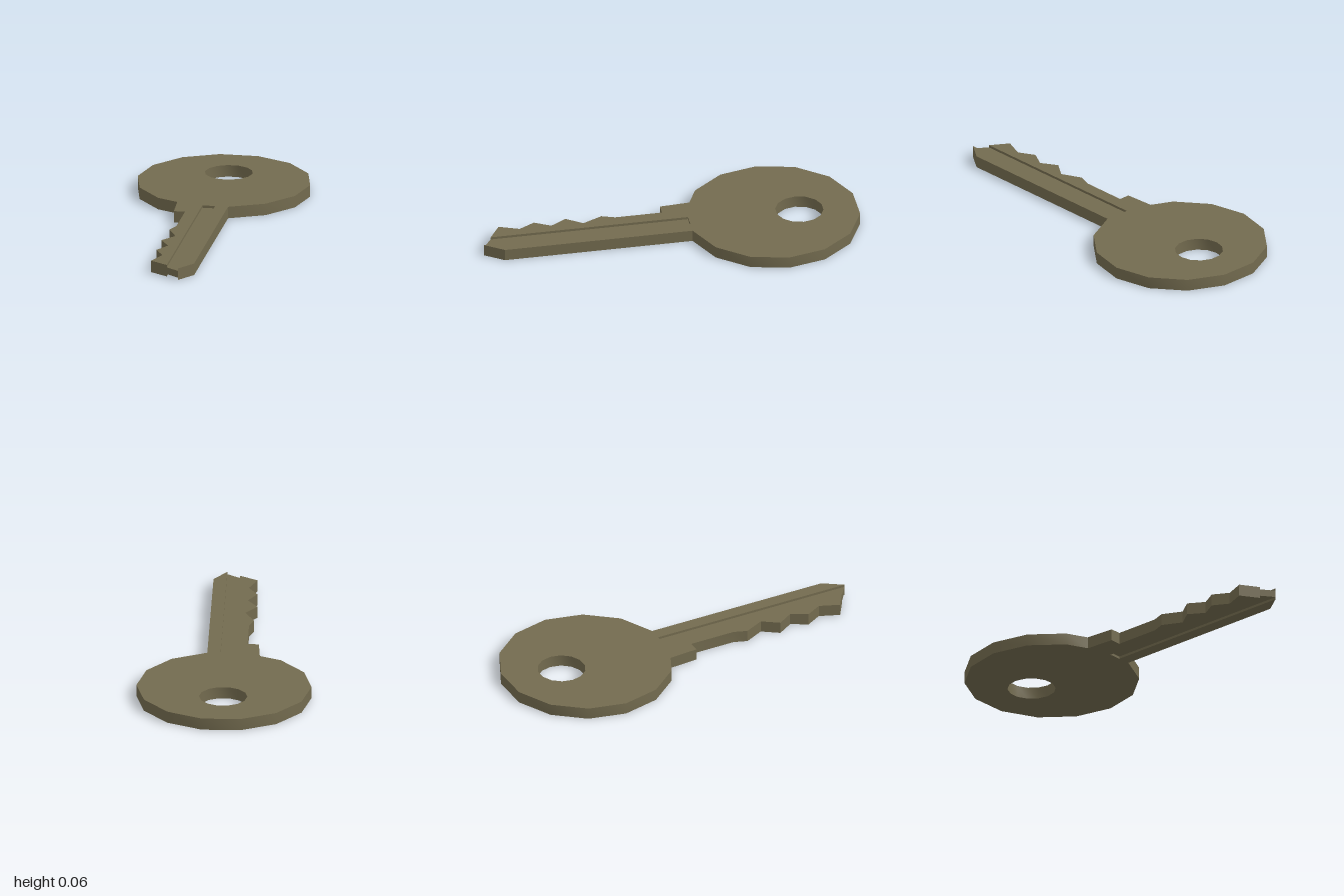
import * as THREE from 'three';
import { toCreasedNormals } from 'three/addons/utils/BufferGeometryUtils.js';

const THICKNESS = 0.063;
const SIDES = 14;
const GROOVE = { left: -0.035, right: 0.033, start: -0.105, bottom: 0.013, top: 0.05 };

// Plan points are [x, z]; the shape plane uses y = -z
const toPoints = (list) => list.map(([x, z]) => new THREE.Vector2(x, -z));

// Corners of a 14-sided circle, from corner number first to last
function arc(cz, r, first, last) {
  const list = [];
  for (let k = first; k <= last; k++) {
    const a = (k / SIDES) * Math.PI * 2;
    list.push([r * Math.cos(a), cz - r * Math.sin(a)]);
  }
  return list;
}

// Flat plate lying between two heights
function plate(name, shape, y0, y1, material) {
  const geometry = new THREE.ExtrudeGeometry(shape, { depth: y1 - y0, bevelEnabled: false });
  geometry.rotateX(-Math.PI / 2);
  geometry.translate(0, y0, 0);
  const mesh = new THREE.Mesh(toCreasedNormals(geometry, 0.55), material);
  mesh.name = name;
  return mesh;
}

export function createModel() {
  const key = new THREE.Group();
  key.name = 'key';
  const brass = new THREE.MeshStandardMaterial({ color: 0x736b4f });

  // Head, shoulder and toothed blade, slotted along the groove
  const body = new THREE.Shape(toPoints([
    ...arc(-0.552, 0.46, -3, 9),
    // Shoulder
    [-0.175, -0.14], [-0.165, 0.02], [-0.105, 0.02],
    // Teeth
    [-0.105, 0.27], [-0.13, 0.34], [-0.08, 0.445], [-0.14, 0.53], [-0.088, 0.615],
    [-0.135, 0.7], [-0.088, 0.785], [-0.13, 0.89],
    // Tip, split by the slot
    [GROOVE.left, 0.95], [GROOVE.left, GROOVE.start],
    [GROOVE.right, GROOVE.start], [GROOVE.right, 1], [0.102, 0.9],
  ]));
  body.holes.push(new THREE.Path(toPoints(arc(-0.695, 0.127, 0, SIDES - 1))));
  key.add(plate('headAndBlade', body, 0, THICKNESS, brass));

  // Thin web in the slot leaves a groove above and below
  const web = new THREE.Shape(toPoints([
    [GROOVE.left, GROOVE.start], [GROOVE.left, 0.95],
    [GROOVE.right, 1], [GROOVE.right, GROOVE.start],
  ]));
  key.add(plate('grooveWeb', web, GROOVE.bottom, GROOVE.top, brass));

  return key;
}
